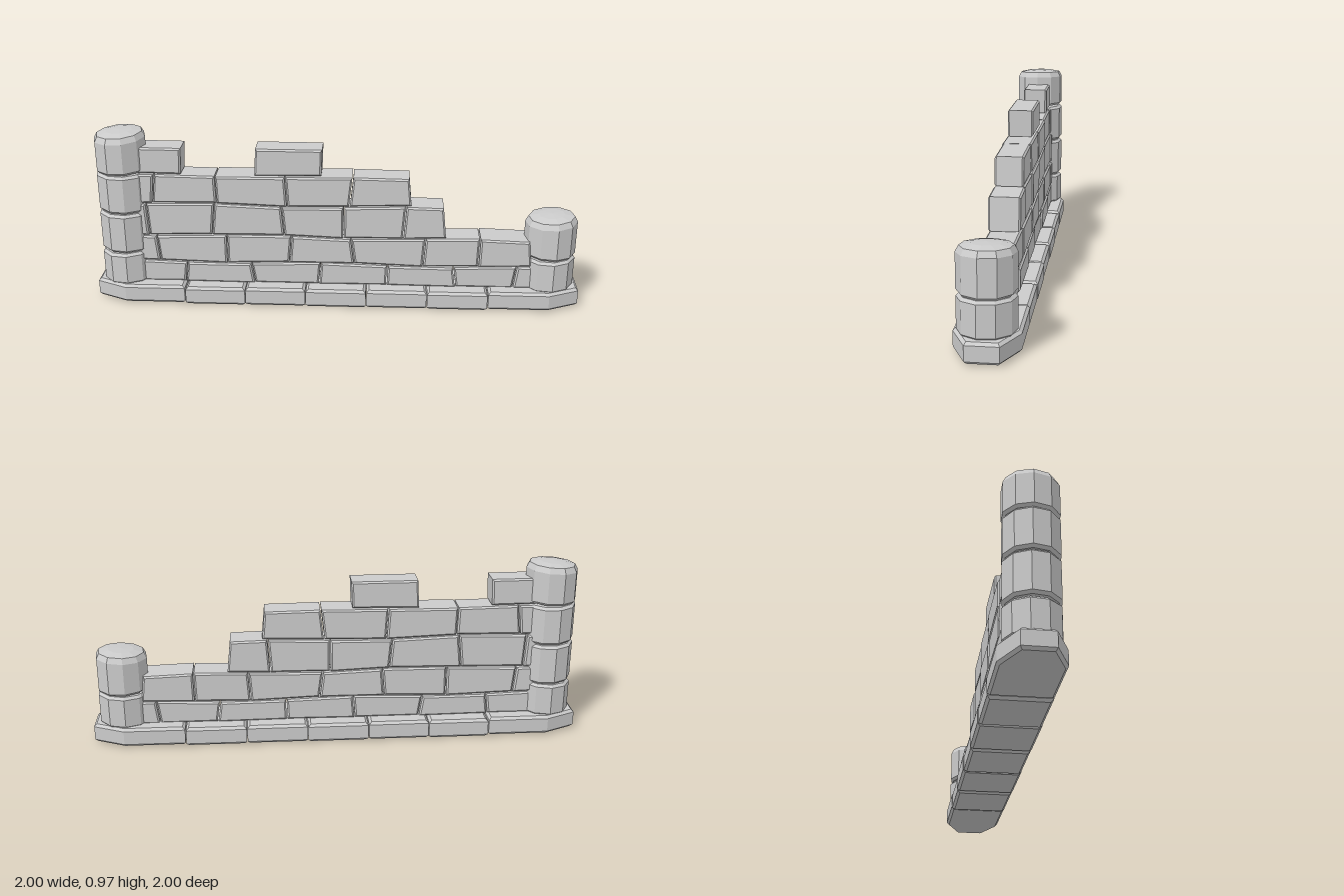
import * as THREE from 'three';

const stone = new THREE.MeshStandardMaterial({ color: 0xcccccc, flatShading: true });

// Chamfered prism from an outline, centred on its extrusion axis
function prism(points, depth, bevel) {
  const shape = new THREE.Shape(points.map(([x, y]) => new THREE.Vector2(x, y)));
  const geometry = new THREE.ExtrudeGeometry(shape, {
    depth: depth - 2 * bevel, bevelEnabled: true, bevelSegments: 1,
    bevelThickness: bevel, bevelSize: bevel, bevelOffset: -bevel,
  });
  return geometry.translate(0, 0, bevel - depth / 2);
}

function addMesh(parent, name, geometry) {
  const mesh = new THREE.Mesh(geometry, stone);
  mesh.name = name;
  parent.add(mesh);
  return mesh;
}

// Plinth: six slabs and two pointed end slabs
function createBase() {
  const base = new THREE.Group();
  base.name = 'base';
  const joints = [-0.833, -0.5, -0.167, 0.167, 0.5, 0.833];
  const h = 0.158;
  const lay = (name, outline, sink) => {
    const geometry = prism(outline, 0.104, 0.014).rotateX(-Math.PI / 2);
    addMesh(base, name, geometry).position.y = 0.06 - sink;
  };
  for (let i = 0; i < joints.length - 1; i++) {
    const a = joints[i] + 0.002, b = joints[i + 1] - 0.002;
    const w = h + (i % 2 ? 0.002 : -0.002);
    lay('baseSlab', [[a, -w], [b, -w], [b, w], [a, w]], i % 2 ? 0.004 : 0.008);
  }
  for (const s of [-1, 1]) {
    const outline = [[0.835, -h], [1.165, -h], [1.332, -0.08], [1.332, 0.08], [1.165, h], [0.835, h]];
    const turned = outline.map(([x, y]) => [s * x, s * y]);
    lay('baseEnd', turned, 0);
  }
  return base;
}

// Broken wall: each course is a list of joints along its length
const courses = [
  { spans: [[-1.17, -0.83, -0.46, -0.09, 0.28, 0.65, 0.98, 1.1]], t: 0.084 },
  { spans: [[-1.17, -0.98, -0.6, -0.25, 0.09, 0.48, 0.78, 1.06]], t: 0.084 },
  { spans: [[-1.17, -1.03, -0.67, -0.29, 0.04, 0.37, 0.59]], t: 0.082 },
  { spans: [[-1.17, -0.99, -0.65, -0.27, 0.08, 0.4]], t: 0.079 },
  { spans: [[-1.12, -0.83], [-0.438, -0.075]], t: 0.073 },
];
const levels = [0.105, 0.23, 0.39, 0.57, 0.737, 0.89];

// Slightly uneven bed line shared by the courses above and below it
function bedHeight(level, x) {
  const sway = level === 0 || level === 5 ? 0.002 : level === 4 ? 0.003 : 0.008;
  return levels[level] + sway * Math.sin(x * 5.5 + level * 1.9);
}

function createWall() {
  const wall = new THREE.Group();
  wall.name = 'wall';
  courses.forEach(({ spans, t }, row) => {
    for (const joints of spans) {
      const lean = joints.map((_, i) => 0.009 * Math.sin(i * 2.3 + row * 1.7));
      for (let i = 0; i < joints.length - 1; i++) {
        const a = joints[i] + 0.003, b = joints[i + 1] - 0.003;
        const outline = [
          [a - lean[i], bedHeight(row, a) + 0.003],
          [b - lean[i + 1], bedHeight(row, b) + 0.003],
          [b + lean[i + 1], bedHeight(row + 1, b) - 0.003],
          [a + lean[i], bedHeight(row + 1, a) - 0.003],
        ];
        const half = t + 0.004 * Math.sin(i * 2.1 + row);
        addMesh(wall, 'brick', prism(outline, 2 * half, 0.009));
      }
    }
  });
  return wall;
}

// Pillar: stacked ten-sided drums, the last one with a low dome
function createPillar(name, x, beds) {
  const pillar = new THREE.Group();
  pillar.name = name;
  pillar.position.x = x;
  for (let i = 0; i < beds.length - 1; i++) {
    const y0 = beds[i] + 0.003, y1 = beds[i + 1] - 0.003;
    const last = i === beds.length - 2;
    const top = last
      ? [[0.14, y1 - 0.045], [0.124, y1 - 0.015], [0.07, y1 - 0.004], [0, y1]]
      : [[0.14, y1 - 0.014], [0.126, y1], [0, y1]];
    const profile = [[0, y0], [0.126, y0], [0.14, y0 + 0.014], ...top];
    const geometry = new THREE.LatheGeometry(profile.map(([r, y]) => new THREE.Vector2(r, y)), 10);
    // Uneven, slightly tilted drums
    const p = geometry.attributes.position;
    for (let k = 0; k < p.count; k++) {
      const px = p.getX(k), pz = p.getZ(k), py = p.getY(k);
      const tilt = last && py > (y0 + y1) / 2 ? 0.06 : 0.03 * Math.cos(i * 2);
      p.setY(k, py + tilt * px);
    }
    addMesh(pillar, last ? 'pillarCap' : 'pillarDrum', geometry).rotation.y = 0.1 + i * 0.06;
  }
  return pillar;
}

export function createModel() {
  const model = new THREE.Group();
  model.name = 'ruinedWall';
  const run = new THREE.Group();
  run.name = 'wallRun';
  run.add(
    createBase(),
    createWall(),
    createPillar('tallPillar', -1.167, [0.1, 0.29, 0.52, 0.742, 0.972]),
    createPillar('shortPillar', 1.167, [0.1, 0.29, 0.528]),
  );
  // The wall stands along the diagonal
  run.rotation.y = Math.PI / 4;
  model.add(run);
  return model;
}
